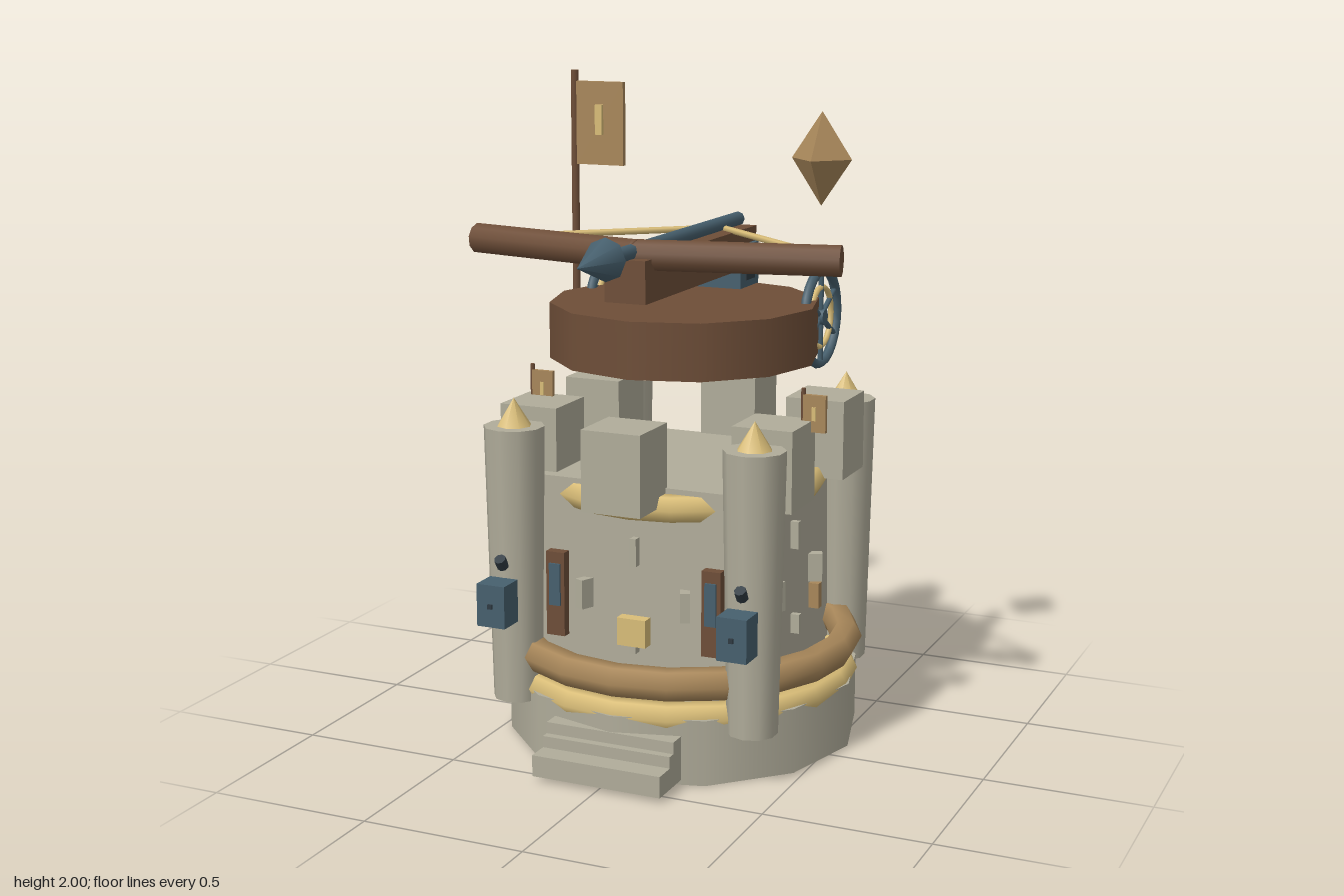
import * as THREE from 'three';

const mat = (color, flat = false) => new THREE.MeshStandardMaterial({ color, flatShading: flat });
const STONE = mat(0xb0ac9a), STONE_FLAT = mat(0xb0ac9a, true), WOOD = mat(0x6e4e38), IRON = mat(0x47606e);
const GOLD = mat(0xd9bd78), TAN = mat(0xa8875a), TAN_FLAT = mat(0xa8875a, true), DARK = mat(0x2f3a42);

export function createModel() {
  const model = new THREE.Group();
  // Tower parts are placed about the tower's own axis
  const tower = new THREE.Group();
  tower.name = 'tower';
  tower.position.z = -0.092;
  model.add(tower);

  function add(parent, name, geometry, material, x = 0, y = 0, z = 0) {
    const mesh = new THREE.Mesh(geometry, material);
    mesh.name = name;
    mesh.position.set(x, y, z);
    parent.add(mesh);
    return mesh;
  }
  const box = (parent, name, m, w, h, d, x, y, z) =>
    add(parent, name, new THREE.BoxGeometry(w, h, d), m, x, y, z);
  const cyl = (parent, name, m, rTop, rBottom, h, sides, x, y, z) =>
    add(parent, name, new THREE.CylinderGeometry(rTop, rBottom, h, sides), m, x, y, z);
  const ring = (name, m, R, r, y) => {
    const t = add(tower, name, new THREE.TorusGeometry(R, r, 6, 20), m, 0, y, 0);
    t.rotation.x = Math.PI / 2;
  };
  // Round bar between two points
  function rod(parent, name, m, a, b, r, sides) {
    const from = new THREE.Vector3(...a), to = new THREE.Vector3(...b);
    const bar = cyl(parent, name, m, r, r, from.distanceTo(to), sides, 0, 0, 0);
    bar.position.copy(from).lerp(to, 0.5);
    bar.quaternion.setFromUnitVectors(new THREE.Vector3(0, 1, 0), to.sub(from).normalize());
  }

  // Round base, square keep and trim rings
  cyl(tower, 'base', STONE, 0.545, 0.545, 0.2, 12, 0, 0.1, 0);
  const keep = cyl(tower, 'keep', STONE_FLAT, 0.352 * Math.SQRT2, 0.36 * Math.SQRT2, 0.65, 4, 0, 0.525, 0);
  keep.geometry.rotateY(Math.PI / 4);
  ring('lowerRing', GOLD, 0.495, 0.045, 0.195);
  ring('middleRing', TAN, 0.503, 0.05, 0.298);
  ring('upperRing', GOLD, 0.391, 0.043, 0.797);

  // Front steps
  box(model, 'lowerStep', STONE, 0.41, 0.065, 0.17, 0, 0.048, 0.465);
  box(model, 'middleStep', STONE, 0.41, 0.035, 0.1, 0, 0.098, 0.43);
  box(model, 'upperStep', STONE, 0.41, 0.035, 0.07, 0, 0.133, 0.42);

  // Corner turrets with pointed caps; the front pair carries lantern boxes
  for (const sx of [-1, 1]) for (const sz of [-1, 1]) {
    const x = 0.385 * sx, z = 0.385 * sz;
    cyl(tower, 'turret', STONE, 0.092, 0.075, 0.845, 10, x, 0.578, z);
    add(tower, 'turretCap', new THREE.ConeGeometry(0.053, 0.085, 8), GOLD, x, 1.042, z);
    if (sz > 0) {
      box(tower, 'lanternBox', IRON, 0.092, 0.13, 0.085, x, 0.485, 0.508);
      box(tower, 'lanternStud', DARK, 0.014, 0.014, 0.012, x, 0.485, 0.552);
      const knob = cyl(tower, 'lanternKnob', DARK, 0.018, 0.018, 0.035, 8, x, 0.6, 0.478);
      knob.rotation.x = 0.6;
    }
  }

  // Six merlons around the parapet
  for (let i = 0; i < 6; i++) {
    const a = i * Math.PI / 3;
    box(tower, 'merlon', STONE, 0.187, 0.243, 0.187, 0.435 * Math.sin(a), 0.923, 0.435 * Math.cos(a));
  }

  // Window slits on every wall
  for (let i = 0; i < 4; i++) {
    const wall = new THREE.Group();
    wall.name = 'wallSlits';
    wall.rotation.y = i * Math.PI / 2;
    tower.add(wall);
    box(wall, 'slit', STONE, 0.02, 0.085, 0.04, 0, 0.65, 0.36);
    box(wall, 'slit', STONE, 0.02, 0.06, 0.04, 0, 0.37, 0.365);
    for (const s of [-1, 1])
      box(wall, 'slit', STONE, 0.03, 0.09, 0.05, 0.163 * s, 0.505, 0.368).rotation.y = 0.4 * s;
  }

  // Shutters, front plaque and side plaques
  for (const s of [-1, 1]) {
    box(tower, 'shutter', WOOD, 0.06, 0.26, 0.045, 0.253 * s, 0.495, 0.365);
    box(tower, 'shutterPane', IRON, 0.036, 0.13, 0.02, 0.253 * s, 0.525, 0.384);
    box(tower, 'sidePlaque', TAN, 0.04, 0.08, 0.027, 0.37 * s, 0.415, -0.16);
  }
  box(tower, 'frontPlaque', GOLD, 0.092, 0.085, 0.05, 0, 0.408, 0.37);

  // Small pennants on the forward side merlons
  for (const s of [-1, 1]) {
    const x = 0.443 * s;
    cyl(model, 'pennantPole', WOOD, 0.007, 0.007, 0.14, 6, x, 1.07, 0.06);
    box(model, 'pennant', TAN, 0.07, 0.11, 0.014, x + 0.036, 1.067, 0.06);
    box(model, 'pennantPatch', GOLD, 0.012, 0.04, 0.02, x + 0.036, 1.067, 0.062);
  }

  // Turning deck with its spoked wheels
  cyl(tower, 'deck', WOOD, 0.41, 0.41, 0.17, 12, 0, 1.26, 0);
  for (const s of [-1, 1]) {
    const wheel = new THREE.Group();
    wheel.name = 'wheel';
    wheel.position.set(0.357 * s, 1.283, -0.31);
    wheel.rotation.y = Math.PI / 2;
    model.add(wheel);
    add(wheel, 'rim', new THREE.TorusGeometry(0.144, 0.015, 6, 24), IRON);
    add(wheel, 'innerRing', new THREE.TorusGeometry(0.092, 0.009, 6, 20), GOLD);
    for (let i = 0; i < 3; i++)
      cyl(wheel, 'spoke', IRON, 0.009, 0.009, 0.288, 6, 0, 0, 0).rotation.z = i * Math.PI / 3;
    cyl(wheel, 'hub', IRON, 0.025, 0.025, 0.03, 8, 0, 0, 0).rotation.x = Math.PI / 2;
  }

  // Giant crossbow: stock, trigger housing, bow arms, string and bolt
  box(model, 'stock', WOOD, 0.128, 0.125, 0.84, 0, 1.462, -0.087);
  box(model, 'triggerHousing', IRON, 0.158, 0.135, 0.15, 0, 1.41, -0.415);
  for (const s of [-1, 1]) {
    rod(model, 'bowArm', WOOD, [-0.01 * s, 1.53, 0.262], [0.58 * s, 1.53, 0.137], 0.046, 10);
    rod(model, 'bowString', GOLD, [0.555 * s, 1.53, 0.11], [0, 1.53, -0.372], 0.01, 6);
    box(model, 'housingInset', DARK, 0.01, 0.085, 0.07, 0.079 * s, 1.41, -0.415);
    box(model, 'housingStud', GOLD, 0.012, 0.02, 0.02, 0.084 * s, 1.41, -0.415);
  }
  rod(model, 'boltShaft', IRON, [0, 1.542, -0.51], [0, 1.542, 0.47], 0.023, 8);
  const head = add(model, 'boltHead', new THREE.ConeGeometry(0.063, 0.178, 8), IRON, 0, 1.542, 0.546);
  head.rotation.x = Math.PI / 2;

  // Tall banner
  cyl(model, 'bannerPole', WOOD, 0.013, 0.013, 0.72, 8, -0.54, 1.64, -0.44);
  box(model, 'banner', TAN, 0.165, 0.265, 0.018, -0.448, 1.833, -0.44);
  box(model, 'bannerPatch', GOLD, 0.024, 0.095, 0.014, -0.447, 1.845, -0.425);

  // Floating crystal
  const crystal = add(model, 'crystal', new THREE.OctahedronGeometry(0.095), TAN_FLAT, 0.375, 1.772, -0.25);
  crystal.scale.y = 1.48;

  return model;
}
